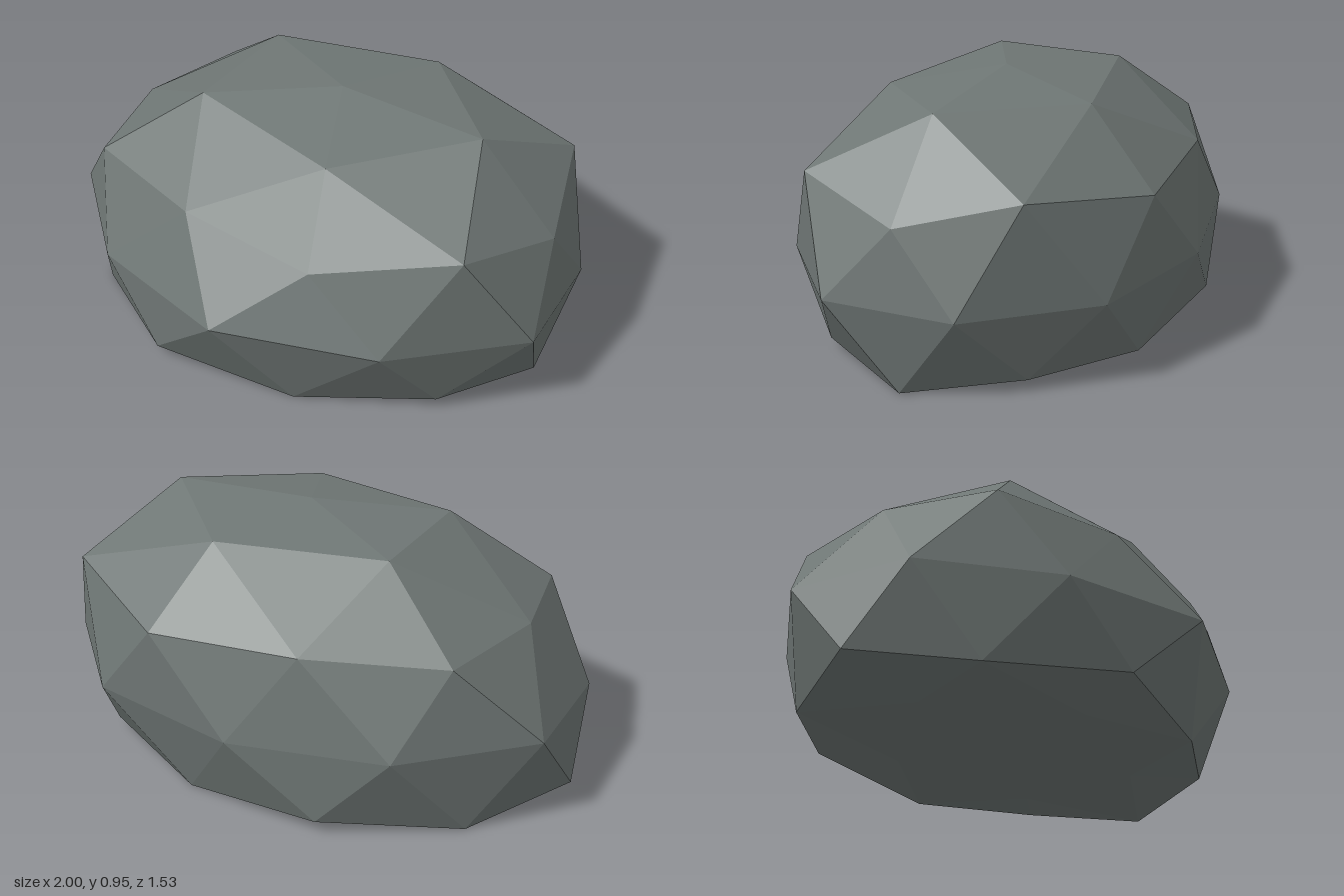
import * as THREE from 'three';

// Cross-section rings of the boulder, from the crown down; each runs from +x towards +z.
const CROWN = [0.07, 0.95, -0.03];
const UPPER = [
  [0.64, 0.92, -0.03], [0.24, 0.875, 0.36], [-0.38, 0.9, 0.21], [-0.38, 0.9, -0.29], [0.24, 0.9, -0.44],
];
const SHOULDER = [
  [0.94, 0.61, -0.03], [0.8, 0.705, 0.385], [0.3, 0.58, 0.57], [-0.22, 0.64, 0.56], [-0.72, 0.64, 0.39],
  [-0.81, 0.65, -0.03], [-0.71, 0.64, -0.46], [-0.23, 0.66, -0.67], [0.34, 0.64, -0.72], [0.81, 0.72, -0.45],
];
const WAIST = [
  [1.0, 0.335, 0.21], [0.59, 0.32, 0.57], [0.01, 0.34, 0.765], [-0.58, 0.32, 0.585], [-0.96, 0.33, 0.21],
  [-0.98, 0.34, -0.28], [-0.575, 0.33, -0.65], [0.01, 0.315, -0.77], [0.6, 0.325, -0.66], [0.96, 0.325, -0.27],
];
const FOOT = [
  [0.91, 0, -0.03], [0.71, 0.045, 0.36], [0.24, 0, 0.58], [-0.31, 0.05, 0.66], [-0.76, 0, 0.36],
  [-1.0, 0.05, -0.03], [-0.76, 0, -0.42], [-0.31, 0.05, -0.7], [0.24, 0, -0.64], [0.71, 0.045, -0.42],
];

// Joins the rings in the pattern of a once-divided icosahedron.
function boulderGeometry() {
  const positions = [];
  const face = (a, b, c) => positions.push(...a, ...b, ...c);
  const at = (ring, i) => ring[(i + ring.length) % ring.length];

  // Flat underside ring, drawn in from the raised foot corners
  const base = [1, 3, 5, 7, 9].map((i) => [FOOT[i][0] * 0.6, 0, FOOT[i][2] * 0.6]);
  const baseCentre = [0, 0, -0.03];

  for (let k = 0; k < 5; k++) {
    const a = at(UPPER, k), aNext = at(UPPER, k + 1);
    const s0 = at(SHOULDER, 2 * k), s1 = at(SHOULDER, 2 * k + 1), s2 = at(SHOULDER, 2 * k + 2);
    // Cap
    face(CROWN, aNext, a);
    face(a, s1, s0);
    face(a, aNext, s1);
    face(aNext, s2, s1);
    // Underside
    const e = at(base, k), eNext = at(base, k + 1);
    const f0 = at(FOOT, 2 * k), f1 = at(FOOT, 2 * k + 1), f2 = at(FOOT, 2 * k + 2);
    face(f0, f1, e);
    face(f1, f2, e);
    face(e, f2, eNext);
    face(e, eNext, baseCentre);
  }
  // Sides
  for (let j = 0; j < 10; j++) {
    const w = at(WAIST, j), wPrev = at(WAIST, j - 1);
    face(at(SHOULDER, j), at(SHOULDER, j + 1), w);
    face(at(SHOULDER, j), w, wPrev);
    face(at(FOOT, j), wPrev, w);
    face(at(FOOT, j), w, at(FOOT, j + 1));
  }

  const geometry = new THREE.BufferGeometry();
  geometry.setAttribute('position', new THREE.Float32BufferAttribute(positions, 3));
  geometry.computeVertexNormals(); // unshared corners give flat facets
  return geometry;
}

export function createModel() {
  const stone = new THREE.MeshStandardMaterial({ color: 0x6f7775, flatShading: true });
  stone.name = 'stone grey';

  const boulder = new THREE.Mesh(boulderGeometry(), stone);
  boulder.name = 'boulder';

  const group = new THREE.Group();
  group.name = 'rock';
  group.add(boulder);
  return group;
}
